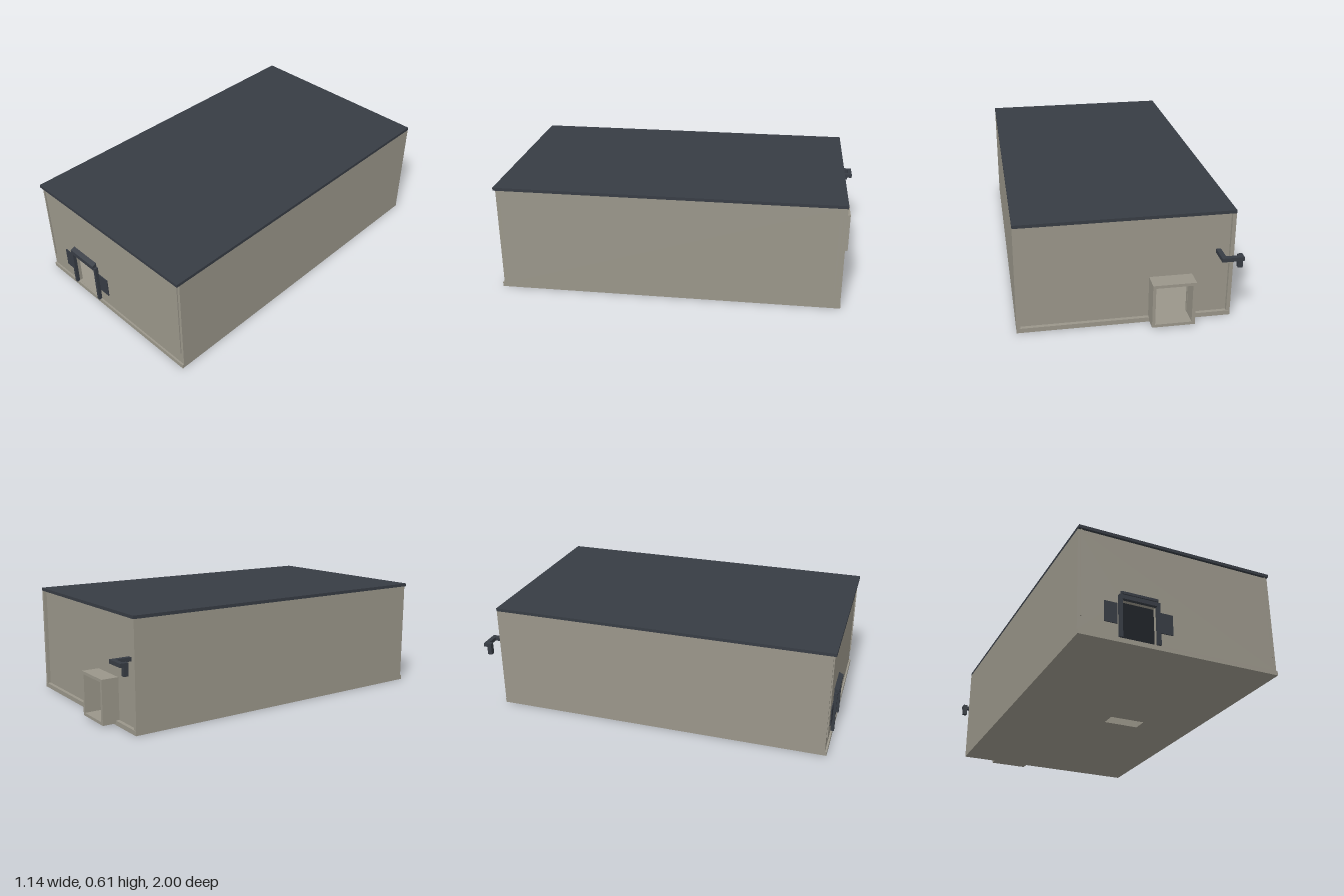
import * as THREE from 'three';

export function createModel() {
  const model = new THREE.Group();
  const wallMat = new THREE.MeshStandardMaterial({ color: 0x9a968a });
  wallMat.name = 'stone beige';
  const darkMat = new THREE.MeshStandardMaterial({ color: 0x373c44 });
  darkMat.name = 'slate grey';

  // Box given by its minimum and maximum corners
  const box = (name, mat, [x0, y0, z0], [x1, y1, z1], parent = model) => {
    const mesh = new THREE.Mesh(new THREE.BoxGeometry(x1 - x0, y1 - y0, z1 - z0), mat);
    mesh.position.set((x0 + x1) / 2, (y0 + y1) / 2, (z0 + z1) / 2);
    mesh.name = name;
    parent.add(mesh);
    return mesh;
  };

  // Rectangular plate with a rectangular hole, extruded along +z
  const rect = (T, a, b, c, d) => {
    const s = new T();
    s.moveTo(a, b);
    s.lineTo(c, b);
    s.lineTo(c, d);
    s.lineTo(a, d);
    s.closePath();
    return s;
  };
  const pierced = (name, mat, outer, hole, depth) => {
    const shape = rect(THREE.Shape, ...outer);
    shape.holes.push(rect(THREE.Path, ...hole));
    const mesh = new THREE.Mesh(new THREE.ExtrudeGeometry(shape, { depth, bevelEnabled: false }), mat);
    mesh.name = name;
    model.add(mesh);
    return mesh;
  };

  const L = -0.55, R = 0.57, T = 0.02;
  const floorTop = 0.025, wallTop = 0.588;
  const front = 0.975, back = -0.89;

  // Floor slab with a service hatch; the shape lies flat, so shape y becomes -z
  const floor = pierced('floorSlab', wallMat, [L, -0.985, R, 0.91], [0.03, -0.12, 0.24, -0.03], floorTop);
  floor.rotation.x = -Math.PI / 2;

  // Raised shaft around the hatch
  const shaft = pierced('floorShaft', wallMat, [0.02, -0.13, 0.25, -0.02], [0.03, -0.12, 0.24, -0.03], 0.15);
  shaft.rotation.x = -Math.PI / 2;
  shaft.position.y = floorTop;

  // Walls, with doorways lined up front to back
  const doorway = [-0.32, 0.026, -0.13, 0.237];
  pierced('frontWall', wallMat, [L, floorTop, R, wallTop], doorway, T).position.z = front - T;
  pierced('backWall', wallMat, [L, floorTop, R, wallTop], doorway, T).position.z = back;
  box('rightWall', wallMat, [L, floorTop, back + T], [L + T, wallTop, front - T]);
  box('leftWall', wallMat, [R - T, floorTop, back + T], [R, wallTop, front - T]);

  // Roof
  box('roof', darkMat, [L, wallTop, -0.91], [R, 0.605, 0.99]);

  // Rear corner posts and thin front downpipes
  for (const [x, s] of [[L, 1], [R, -1]]) {
    const a = x, b = x + s * T;
    box('rearCornerPost', wallMat, [Math.min(a, b), floorTop, -0.908], [Math.max(a, b), wallTop, back]);
    const px = x + s * 0.018;
    box('frontDownpipe', wallMat, [px - 0.003, 0.1, front], [px + 0.003, wallTop, front + 0.006]);
  }

  // Front door surround
  const door = new THREE.Group();
  door.name = 'doorSurround';
  model.add(door);
  box('doorPost', darkMat, [-0.335, 0.026, front], [-0.319, 0.26, 0.994], door);
  box('doorPost', darkMat, [-0.13, 0.026, front], [-0.112, 0.26, 0.994], door);
  box('doorLintel', darkMat, [-0.319, 0.237, front], [-0.13, 0.26, 0.994], door);

  // Sloped awning over the lintel
  const profile = new THREE.Shape();
  profile.moveTo(front, 0.26);
  profile.lineTo(1.0, 0.26);
  profile.lineTo(1.0, 0.274);
  profile.lineTo(front, 0.286);
  profile.closePath();
  const awning = new THREE.Mesh(new THREE.ExtrudeGeometry(profile, { depth: 0.197, bevelEnabled: false }), darkMat);
  awning.rotation.y = -Math.PI / 2;
  awning.position.x = -0.125;
  awning.name = 'doorAwning';
  door.add(awning);

  // Flat panels on both sides of the door
  for (const [x0, x1] of [[-0.411, -0.341], [-0.106, -0.036]])
    box('sidePanel', darkMat, [x0, 0.1, front], [x1, 0.213, front + 0.005]);

  // Rear door hood, open right through
  pierced('rearHood', wallMat, [-0.34, 0.01, -0.115, 0.253], [-0.322, 0.026, -0.131, 0.237], 0.095)
    .position.z = -0.985;

  // Rear outlet pipe: out from the wall, sideways, then down
  const pipe = new THREE.Group();
  pipe.name = 'outletPipe';
  model.add(pipe);
  box('pipeOutlet', darkMat, [-0.485, 0.365, -0.975], [-0.46, 0.386, back], pipe);
  box('pipeArm', darkMat, [-0.575, 0.365, -1.0], [-0.46, 0.386, -0.975], pipe);
  box('pipeReturn', darkMat, [-0.575, 0.365, -0.975], [-0.55, 0.386, -0.955], pipe);
  box('pipeDrop', darkMat, [-0.575, 0.318, -0.98], [-0.55, 0.365, -0.955], pipe);

  return model;
}
